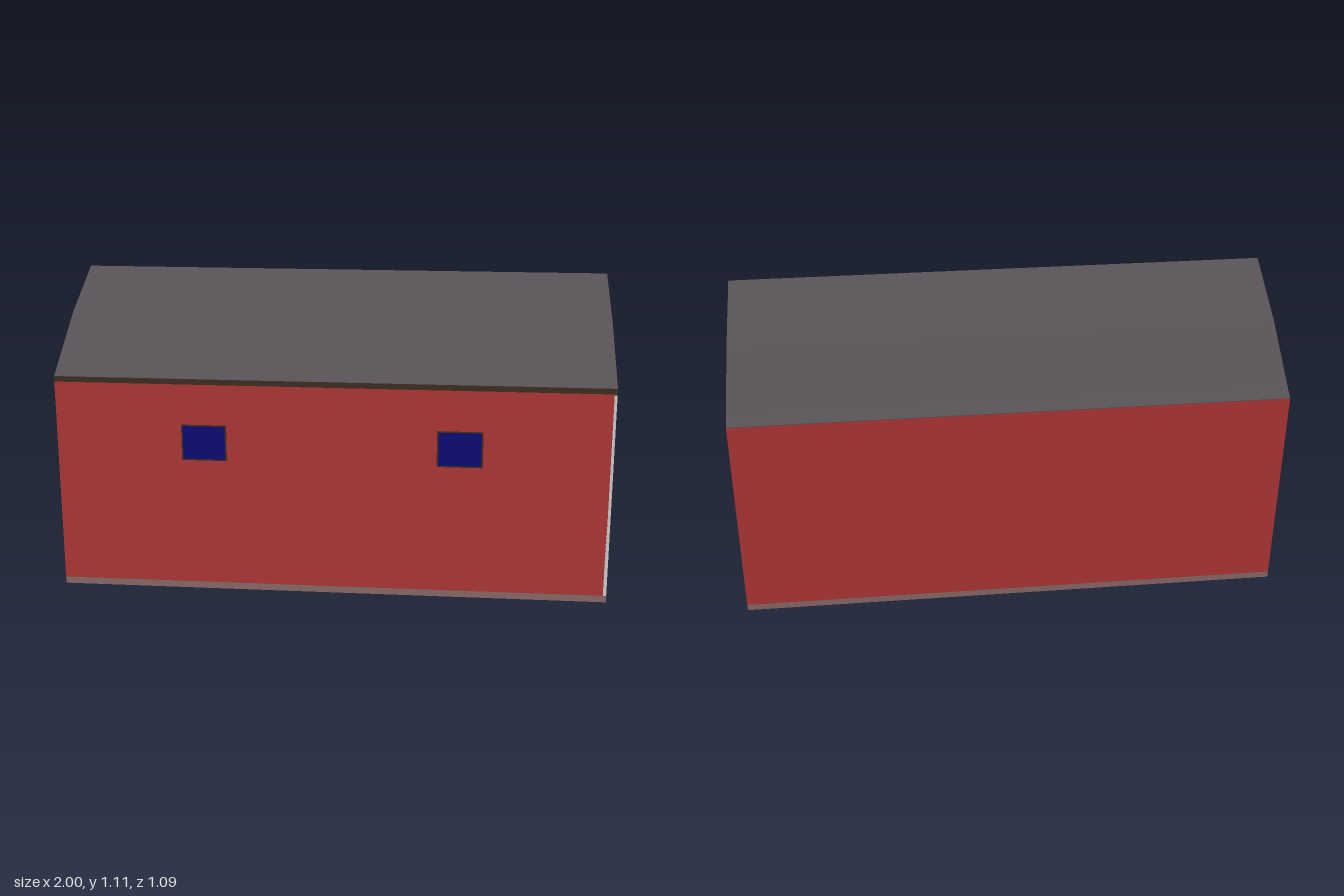
import * as THREE from 'three';

const paint = (name, color) => {
  const m = new THREE.MeshStandardMaterial({ color });
  m.name = name;
  return m;
};

export function createModel() {
  const barn = new THREE.Group();
  barn.name = 'barn';
  const red = paint('barn red', 0xb03737);
  const slate = paint('roof slate', 0x575156);
  const brown = paint('dark brown', 0x3e2e23);
  const stone = paint('foundation stone', 0x8a6a68);
  const white = paint('trim white', 0xd2d0d0);
  const blue = paint('window blue', 0x0d0b74);
  const dark = paint('door dark', 0x260e0e);

  const add = (name, geometry, material) => {
    const mesh = new THREE.Mesh(geometry, material);
    mesh.name = name;
    barn.add(mesh);
    return mesh;
  };
  // Box given by its limits on each axis
  const box = (name, material, [x0, x1], [y0, y1], [z0, z1]) => {
    const g = new THREE.BoxGeometry(x1 - x0, y1 - y0, z1 - z0);
    add(name, g.translate((x0 + x1) / 2, (y0 + y1) / 2, (z0 + z1) / 2), material);
  };
  // Cross-section of [z, y] points extruded along x
  const prism = (name, material, points, x0, x1, hole) => {
    const toV = ([z, y]) => new THREE.Vector2(-z, y);
    const shape = new THREE.Shape(points.map(toV));
    if (hole) shape.holes.push(new THREE.Path(hole.map(toV)));
    const g = new THREE.ExtrudeGeometry(shape, { depth: x1 - x0, bevelEnabled: false });
    g.rotateY(Math.PI / 2).translate(x0, 0, 0);
    add(name, g, material);
  };
  const diamond = (w, h) => [[-w, 0.566], [0, 0.566 - h], [w, 0.566], [0, 0.566 + h]];

  // Foundation slab
  box('foundation', stone, [-1, 1], [0, 0.025], [-0.545, 0.545]);

  // Walls: solid body, then the end wall with an opening for the gable window
  const under = [[0.542, 0.775], [0.27, 0.932], [0, 1.055], [-0.27, 0.932], [-0.542, 0.775]];
  const wall = [[-0.542, 0.025], [0.542, 0.025], ...under];
  prism('walls', red, wall, -0.998, 0.965);
  prism('endWall', red, wall, 0.965, 0.995, diamond(0.094, 0.062));
  box('backCladding', red, [-1, 1], [0.025, 0.803], [-0.545, -0.541]);
  box('frontCladding', red, [-1, 0.99], [0.025, 0.78], [0.541, 0.545]);

  // Roof: brown gable ends, slate slopes
  const over = [[-0.545, 0.805], [-0.51, 0.825], [-0.27, 0.98], [0, 1.11], [0.27, 0.98], [0.543, 0.8]];
  prism('roof', [brown, slate], [...under, ...over], -1, 1);
  box('frontFascia', brown, [-1, 1], [0.777, 0.8], [0.541, 0.545]);

  // White corner boards on the main end
  box('frontCornerBoard', white, [0.988, 1], [0.025, 0.777], [0.528, 0.545]);
  box('backCornerBoard', white, [0.99, 1], [0.025, 0.777], [-0.541, -0.533]);

  // Recessed diamond window
  prism('gableWindowFrame', brown, diamond(0.094, 0.062), 0.965, 0.997, diamond(0.081, 0.052));
  prism('gableWindowGlass', blue, diamond(0.081, 0.052), 0.962, 0.968);

  // Peaked doorways at both ends
  const door = [[-0.195, 0.025], [0.195, 0.025], [0.195, 0.36], [0, 0.397], [-0.195, 0.36]];
  prism('mainDoor', dark, door, 0.992, 0.998);
  prism('farDoor', dark, door, -1, -0.994);

  // Front windows
  for (const x of [-0.46, 0.46]) {
    box('windowFrame', brown, [x - 0.082, x + 0.082], [0.498, 0.631], [0.54, 0.5465]);
    box('windowGlass', blue, [x - 0.076, x + 0.076], [0.503, 0.626], [0.541, 0.548]);
  }
  return barn;
}
